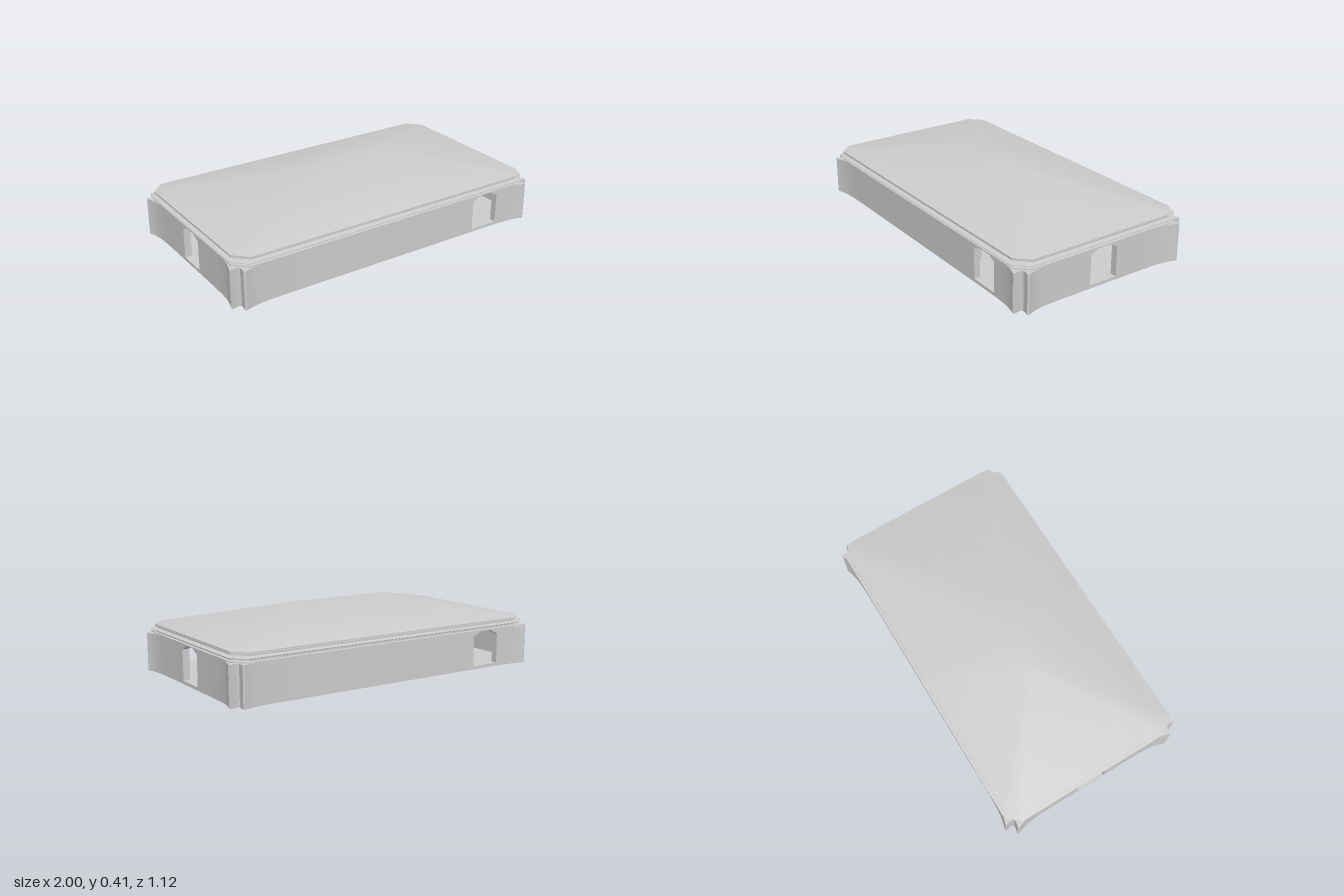
import * as THREE from 'three';
import { toCreasedNormals } from 'three/addons/utils/BufferGeometryUtils.js';

const material = new THREE.MeshStandardMaterial({ color: 0xcccccc });
const WALL_TOP = 0.222, FLOOR = 0.018;
const INNER_X = 0.93, INNER_Z = 0.495;

// Outer wall faces run almost straight and flare out close to the corners
const longWallZ = x => 0.532 + 0.028 * Math.pow(Math.abs(x) / 0.942, 14);
const shortWallX = z => 0.97 + 0.03 * Math.pow(Math.abs(z) / 0.5, 8);

function mesh(name, geometry) {
  const m = new THREE.Mesh(toCreasedNormals(geometry, 0.5), material);
  m.name = name;
  return m;
}

// Outer line from x0 on the long wall, round the notched corner, to z1 on the short wall
function outerLine(x0, z1) {
  const pts = [], n = 40;
  for (let i = 0; i <= n; i++) {
    const x = x0 + (0.942 - x0) * i / n;
    pts.push([x, longWallZ(x)]);
  }
  pts.push([0.95, 0.555], [0.945, 0.53], [0.944, 0.508], [0.952, 0.502], [0.97, 0.504], [0.994, 0.51]);
  for (let i = 0; i <= n; i++) {
    const z = 0.5 + (z1 - 0.5) * i / n;
    pts.push([shortWallX(z), z]);
  }
  return pts;
}

// Raise a plan of [x, z] points from y0 to y1
function raisePlan(points, y0, y1) {
  const shape = new THREE.Shape(points.map(([x, z]) => new THREE.Vector2(x, -z)));
  return new THREE.ExtrudeGeometry(shape, { depth: y1 - y0, bevelEnabled: false })
    .rotateX(-Math.PI / 2).translate(0, y0, 0);
}

// Extrude a section of [a, y] points along z
function prism(points, depth) {
  const shape = new THREE.Shape(points.map(p => new THREE.Vector2(...p)));
  return new THREE.ExtrudeGeometry(shape, { depth, bevelEnabled: false });
}

// Rectangle with cut corners and a middle point on each long side; hz is its half depth
function ring(hz, y) {
  const hx = hz + 0.435, c = 0.075;
  return [
    [hx, hz - c], [hx - c, hz], [0, hz], [c - hx, hz], [-hx, hz - c],
    [-hx, c - hz], [c - hx, -hz], [0, -hz], [hx - c, -hz], [hx, c - hz],
  ].map(([x, z]) => new THREE.Vector3(x, y, z));
}

// Skin a list of rings; the first one is closed with a flat underside
function skin(rings) {
  const v = [], n = rings[0].length;
  const tri = (...ps) => ps.forEach(p => v.push(p.x, p.y, p.z));
  const centre = new THREE.Vector3(0, rings[0][0].y, 0);
  for (let i = 0; i < n; i++) {
    const j = (i + 1) % n;
    tri(rings[0][i], rings[0][j], centre);
    for (let k = 0; k + 1 < rings.length; k++) {
      const a = rings[k], b = rings[k + 1];
      tri(a[i], b[i], a[j]);
      if (!b[i].equals(b[j])) tri(a[j], b[i], b[j]);
    }
  }
  const g = new THREE.BufferGeometry();
  g.setAttribute('position', new THREE.Float32BufferAttribute(v, 3));
  return g;
}

// One half of the walls; the other half is the same turned by 180 degrees
function wallHalf() {
  const half = new THREE.Group();
  half.name = 'wallHalf';
  const doorL = 0.567, doorR = 0.745, sideDoor = 0.088;
  const plan = x0 => [...outerLine(x0, sideDoor),
    [INNER_X, sideDoor], [INNER_X, INNER_Z], [x0, INNER_Z]];
  half.add(mesh('shortCornerWall', raisePlan(plan(doorR), FLOOR, WALL_TOP)));
  const longPlan = plan(-doorL).map(([x, z]) => [x, -z]);
  half.add(mesh('longCornerWall', raisePlan(longPlan, FLOOR, WALL_TOP)));

  // Slanted upper corners of the doorways
  for (const s of [-1, 1]) {
    const corner = (mid, w) => [
      [mid + s * w, 0.193], [mid + s * w, WALL_TOP], [mid + s * (w - 0.058), WALL_TOP]];
    half.add(mesh('longDoorCorner',
      prism(corner(0.656, 0.089), 0.037).translate(0, 0, INNER_Z)));
    half.add(mesh('shortDoorCorner',
      prism(corner(0, sideDoor), 0.04).rotateY(Math.PI / 2).translate(INNER_X, 0, 0)));
  }

  // Inside cove and ledge of the long wall
  const length = INNER_X + doorL;
  const cove = prism([[-INNER_Z, 0.163], [-INNER_Z, WALL_TOP], [-0.43, WALL_TOP]], length);
  half.add(mesh('ceilingCove', cove.rotateY(-Math.PI / 2).translate(INNER_X, 0, 0)));
  const ledge = new THREE.BoxGeometry(length, 0.033, 0.012);
  half.add(mesh('wallLedge', ledge.translate((INNER_X - doorL) / 2, 0.1465, -INNER_Z + 0.006)));
  return half;
}

export function createModel() {
  const model = new THREE.Group();
  model.name = 'pavilion';

  // Floor slab follows the outer wall line in all four quarters
  const quarter = outerLine(0, 0);
  const flip = (sx, sz) => quarter.map(([x, z]) => [x * sx, z * sz]);
  const outline = [
    ...flip(1, 1), ...flip(1, -1).reverse().slice(1),
    ...flip(-1, -1).slice(1), ...flip(-1, 1).reverse().slice(1, -1),
  ];
  model.add(mesh('floor', raisePlan(outline, 0, FLOOR)));

  // Walls with doorways
  const front = wallHalf(), back = wallHalf();
  back.rotation.y = Math.PI;
  model.add(front, back);

  // Stepped cornice: [half depth, height]
  const cornice = [
    [0.538, 0.221], [0.538, 0.228], [0.525, 0.23], [0.525, 0.241], [0.538, 0.243],
    [0.55, 0.247], [0.55, 0.25], [0.53, 0.253], [0.522, 0.255], [0.522, 0.26],
    [0.53, 0.262], [0.53, 0.267], [0.524, 0.268], [0.524, 0.272],
  ].map(([hz, y]) => ring(hz, y));
  model.add(mesh('cornice', skin(cornice)));

  // Hipped roof rising to a short ridge
  const eave = ring(0.533, 0.277);
  const ridge = eave.map(p => new THREE.Vector3(Math.sign(p.x) * 0.3, 0.41, 0));
  model.add(mesh('roof', skin([ring(0.533, 0.27), eave, ridge])));
  return model;
}
